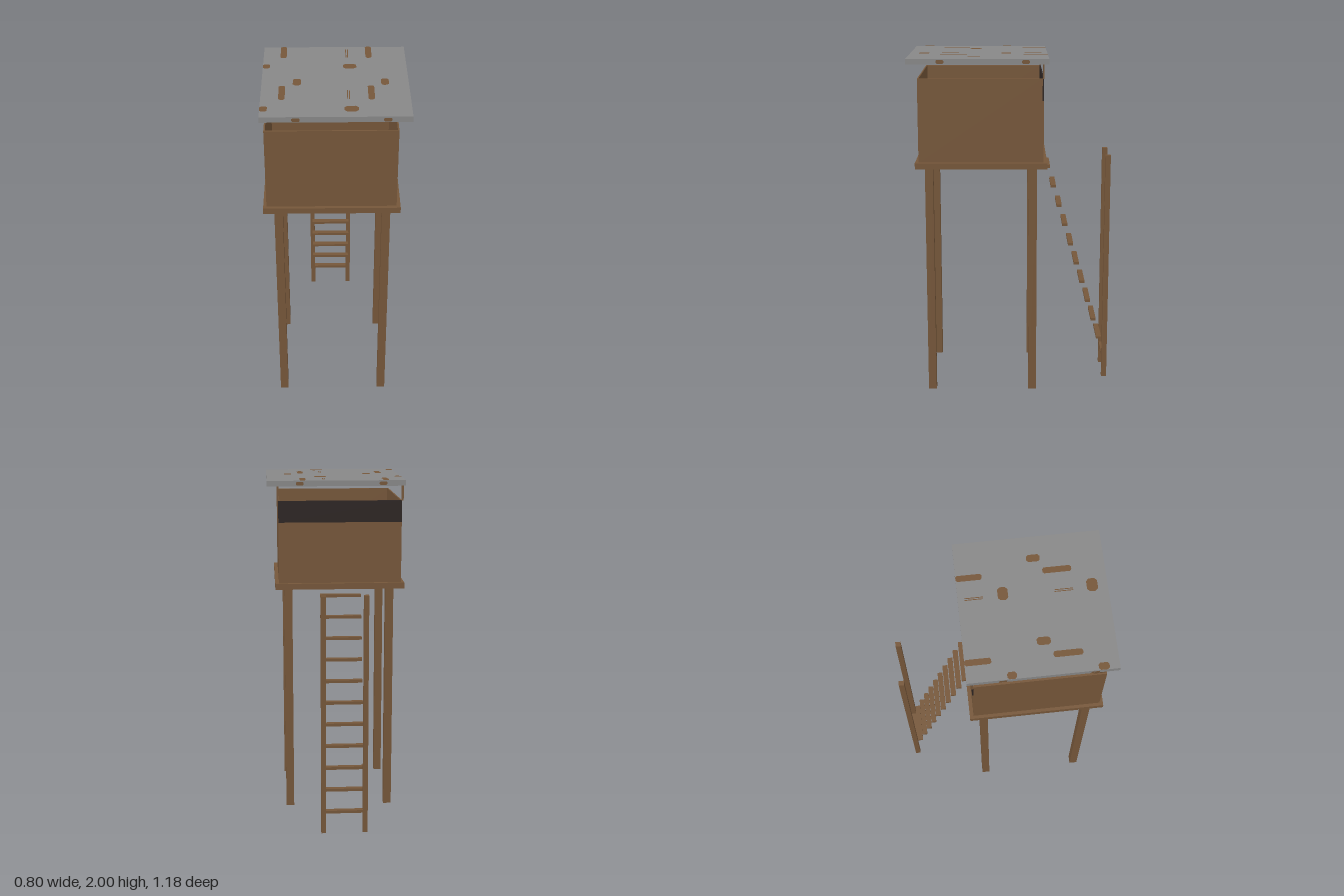
import * as THREE from 'three';

export function createModel() {
  const root = new THREE.Group();
  root.name = 'watchTower';

  const wood = new THREE.MeshStandardMaterial({ color: 0x76573a });
  wood.name = 'brown wood';
  const metal = new THREE.MeshStandardMaterial({ color: 0x888888 });
  metal.name = 'grey metal';
  const dark = new THREE.MeshStandardMaterial({ color: 0x2c2422 });
  dark.name = 'dark panel';

  // box given by its minimum and maximum on each axis
  function box(name, material, [x0, x1], [y0, y1], [z0, z1], parent = root) {
    const mesh = new THREE.Mesh(new THREE.BoxGeometry(x1 - x0, y1 - y0, z1 - z0), material);
    mesh.position.set((x0 + x1) / 2, (y0 + y1) / 2, (z0 + z1) / 2);
    mesh.name = name;
    parent.add(mesh);
    return mesh;
  }

  // four legs
  for (const x of [[-0.342, -0.295], [0.257, 0.304]])
    for (const z of [[0.453, 0.5], [-0.148, -0.101]]) box('leg', wood, x, [0, 1.365], z);

  // platform
  box('platform', wood, [-0.4, 0.357], [1.365, 1.4], [-0.205, 0.553]);

  // open-topped cabin
  const t = 0.008, X = [-0.382, 0.335], Z = [-0.184, 0.533], Y = [1.4, 1.88];
  const innerZ = [Z[0] + t, Z[1] - t];
  box('frontWall', wood, X, Y, [Z[1] - t, Z[1]]);
  box('rightWall', wood, [X[0], X[0] + t], Y, innerZ);
  box('leftWall', wood, [X[1] - t, X[1]], Y, innerZ);
  box('backWall', wood, X, [1.4, 1.755], [Z[0], Z[0] + t]);
  box('backPanel', dark, X, [1.755, 1.88], [Z[0], Z[0] + t]);

  // thin posts holding the roof at the back
  for (const x of [[-0.391, -0.378], [0.331, 0.344]])
    box('roofPost', wood, x, [1.88, 1.967], [Z[0] - 0.002, Z[0] + 0.006]);

  // ladder
  const ladder = new THREE.Group();
  ladder.name = 'ladder';
  root.add(ladder);
  for (const x of [[-0.157, -0.129], [0.084, 0.112]])
    box('ladderRail', wood, x, [0, 1.4], [-0.59, -0.559], ladder);
  for (let i = 0; i < 11; i++) {
    const y = 1.33 - 0.12 * i, z = -0.214 - 0.0362 * i;
    box('rung', wood, [-0.142, 0.097], [y - 0.008, y + 0.008], [z - 0.0155, z + 0.0155], ladder);
  }

  // roof slab
  const top = 1.998, bottom = 1.966, midZ = 0.19, half = 0.4;
  box('roof', metal, [-half, half], [bottom, top], [midZ - half, midZ + half]);

  // rust spot: flat patch with cut corners
  const rust = new THREE.Group();
  rust.name = 'rustSpots';
  root.add(rust);
  function spot(w, h) {
    const c = Math.min(w, h) * 0.25, a = w / 2, b = h / 2;
    const shape = new THREE.Shape([
      [a, -b + c], [a, b - c], [a - c, b], [-a + c, b],
      [-a, b - c], [-a, -b + c], [-a + c, -b], [a - c, -b],
    ].map(([x, y]) => new THREE.Vector2(x, y)));
    const mesh = new THREE.Mesh(new THREE.ShapeGeometry(shape), wood);
    mesh.name = 'rustSpot';
    rust.add(mesh);
    return mesh;
  }

  // spots on both faces of the roof: x range, z range
  const spots = [
    [-0.305, -0.27, -0.21, -0.07], [0.175, 0.21, -0.21, -0.07],
    [-0.305, -0.27, 0.255, 0.41], [0.175, 0.21, 0.255, 0.41],
    [-0.4, -0.36, 0.003, 0.053], [0.045, 0.12, 0.003, 0.058],
    [-0.4, -0.36, 0.478, 0.535], [0.045, 0.12, 0.478, 0.537],
    [-0.23, -0.185, 0.177, 0.25], [0.25, 0.292, 0.177, 0.25],
  ];
  for (const z of [-0.175, 0.305])
    for (const x of [0.062, 0.072]) spots.push([x, x + 0.005, z, z + 0.1]);
  for (const [x0, x1, z0, z1] of spots) {
    const x = (x0 + x1) / 2, z = (z0 + z1) / 2;
    const upper = spot(x1 - x0, z1 - z0);
    upper.rotation.x = -Math.PI / 2;
    upper.position.set(x, top + 0.002, z);
    const under = spot(x1 - x0, z1 - z0);
    under.rotation.x = Math.PI / 2;
    under.position.set(x, bottom - 0.002, 2 * midZ - z);
  }

  // two spots on each roof edge, turned around the roof
  for (let side = 0; side < 4; side++) {
    const angle = side * Math.PI / 2, r = half + 0.0015;
    for (const u of [-0.21, 0.27]) {
      const edge = spot(0.044, 0.02);
      edge.rotation.y = angle;
      edge.position.set(
        u * Math.cos(angle) + r * Math.sin(angle), 1.981,
        midZ - u * Math.sin(angle) + r * Math.cos(angle));
    }
  }

  return root;
}
